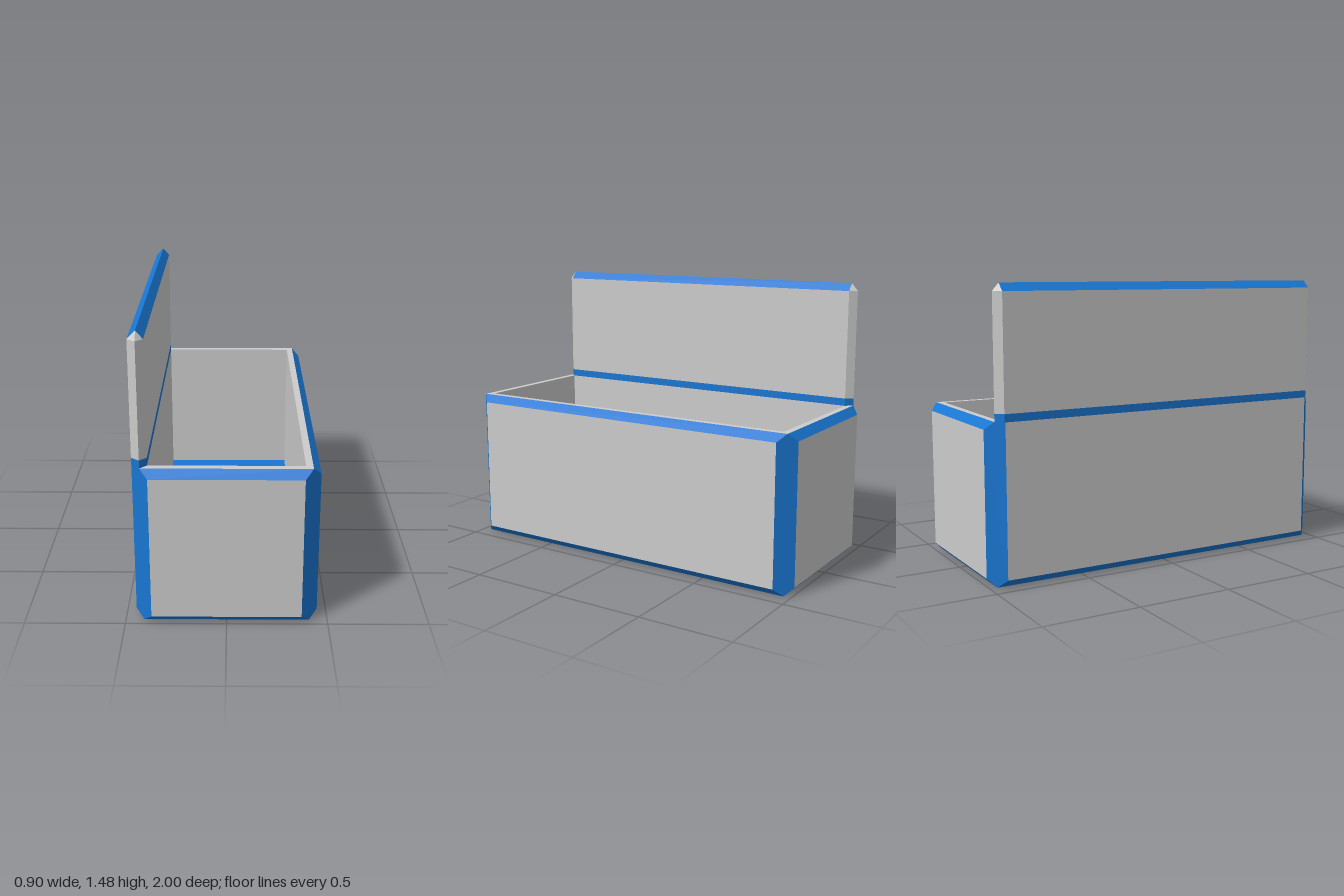
import * as THREE from 'three';

const grey = new THREE.MeshStandardMaterial({ color: 0xcccccc, flatShading: true });
const blue = new THREE.MeshStandardMaterial({ color: 0x1976d2, flatShading: true });

// Flat convex polygons, each turned to face away from the centre (or towards it).
function facets(name, material, polygons, centre, inward = false) {
  const positions = [];
  for (const points of polygons) {
    const p = points.map((q) => new THREE.Vector3(...q));
    const normal = p[1].clone().sub(p[0]).cross(p[2].clone().sub(p[0]));
    const middle = p.reduce((sum, q) => sum.add(q), new THREE.Vector3()).divideScalar(p.length);
    if ((normal.dot(middle.sub(centre)) < 0) !== inward) p.reverse();
    for (let i = 1; i < p.length - 1; i++) {
      for (const q of [p[0], p[i], p[i + 1]]) positions.push(q.x, q.y, q.z);
    }
  }
  const geometry = new THREE.BufferGeometry();
  geometry.setAttribute('position', new THREE.Float32BufferAttribute(positions, 3));
  geometry.computeVertexNormals();
  const mesh = new THREE.Mesh(geometry, material);
  mesh.name = name;
  return mesh;
}

// Quads joining two loops of points.
const band = (a, b) => a.map((p, i) => {
  const j = (i + 1) % a.length;
  return [p, a[j], b[j], b[i]];
});
const rectangle = (x, y, z) => [[-x, y, -z], [x, y, -z], [x, y, z], [-x, y, z]];

function createChest() {
  const group = new THREE.Group();
  group.name = 'chest';
  const top = 0.82, low = 0.04, high = 0.78;
  const centre = new THREE.Vector3(0, 0.41, 0);
  const panels = [], trim = [];

  // End panels with their upper and lower bevels
  for (const s of [-1, 1]) {
    panels.push([[-0.37, low, s], [0.37, low, s], [0.37, high, s], [-0.37, high, s]]);
    for (const [y, edge] of [[low, 0], [high, top]]) {
      trim.push([[-0.37, y, s], [0.37, y, s], [0.41, edge, s * 0.96], [-0.41, edge, s * 0.96]]);
    }
  }

  // Long panels; the hinge side runs straight up to the lid
  for (const s of [-1, 1]) {
    const upper = s < 0 ? top : high;
    const x = s * 0.45;
    panels.push([[x, low, -0.92], [x, low, 0.92], [x, upper, 0.92], [x, upper, -0.92]]);
    const bevel = (y, edge) =>
      trim.push([[x, y, -0.92], [x, y, 0.92], [s * 0.41, edge, 0.96], [s * 0.41, edge, -0.96]]);
    bevel(low, 0);
    if (s > 0) bevel(high, top);
    // Pointed corner strips
    for (const t of [-1, 1]) {
      trim.push([
        [s * 0.41, 0, t * 0.96], [s * 0.37, low, t], [s * 0.37, high, t],
        [s * 0.41, top, t * 0.96], [x, upper, t * 0.92], [x, low, t * 0.92],
      ]);
    }
  }
  panels.push(rectangle(0.41, 0, 0.96));
  group.add(facets('outerPanels', grey, panels, centre));
  group.add(facets('bevelTrim', blue, trim, centre));

  // Rim, inner walls and floor
  const inner = rectangle(0.375, top, 0.925);
  const floor = rectangle(0.375, low, 0.925);
  group.add(facets('rim', grey, band(rectangle(0.41, top, 0.96), inner), centre));
  group.add(facets('innerWalls', grey, band(inner, floor), centre, true));
  group.add(facets('floor', blue, [floor], centre, true));
  return group;
}

function createLid() {
  const group = new THREE.Group();
  group.name = 'openLid';
  const centre = new THREE.Vector3(-0.41, 1.15, 0);
  const left = -0.45, middle = -0.41, right = -0.375;
  const outline = (y) => [
    [left, y, -0.925], [middle, y, -0.96], [right, y, -0.925],
    [right, y, 0.925], [middle, y, 0.96], [left, y, 0.925],
  ];
  const base = outline(0.82), seam = outline(0.86), shoulder = outline(1.44);

  // Hinge strip and upright slab with pointed ends
  group.add(facets('hingeStrip', blue, [...band(base, seam), base], centre));
  group.add(facets('lidPanels', grey, band(seam, shoulder), centre));

  // Ridge along the top edge, with small facets closing each end
  const ridge = [[middle, 1.48, -0.925], [middle, 1.48, 0.925]];
  group.add(facets('lidRidge', blue, [
    [shoulder[2], shoulder[3], ridge[1], ridge[0]],
    [shoulder[5], shoulder[0], ridge[0], ridge[1]],
  ], centre));
  group.add(facets('ridgeEnds', grey, [
    [shoulder[0], shoulder[1], ridge[0]], [shoulder[1], shoulder[2], ridge[0]],
    [shoulder[3], shoulder[4], ridge[1]], [shoulder[4], shoulder[5], ridge[1]],
  ], centre));
  return group;
}

export function createModel() {
  const model = new THREE.Group();
  model.name = 'storageChest';
  model.add(createChest(), createLid());
  return model;
}
